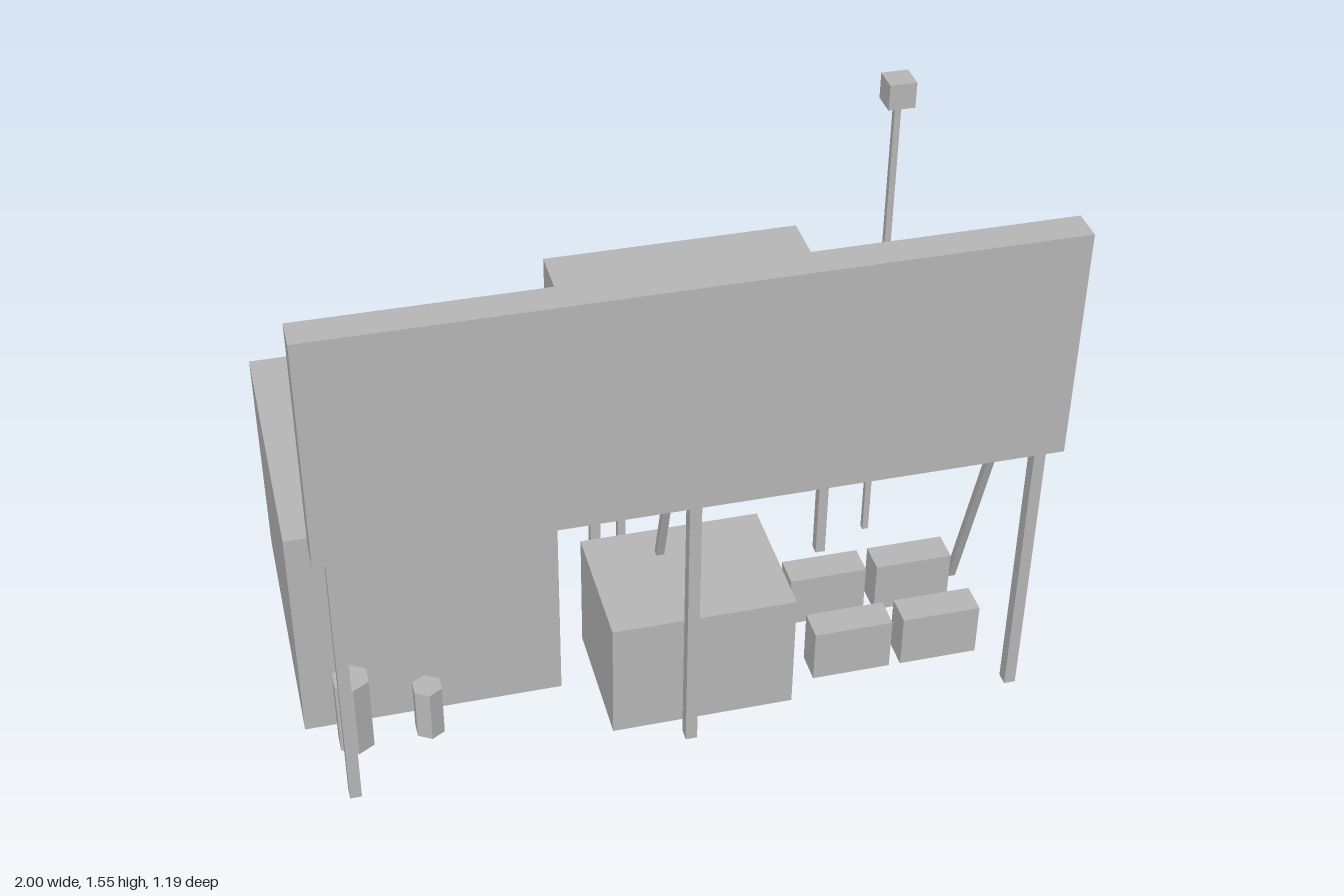
import * as THREE from 'three';

export function createModel() {
  const model = new THREE.Group();
  const grey = new THREE.MeshStandardMaterial({ color: 0xb8b8b8 });
  grey.name = 'plain grey';

  const add = (name, geometry, x, y, z) => {
    const mesh = new THREE.Mesh(geometry, grey);
    mesh.name = name;
    mesh.position.set(x, y, z);
    model.add(mesh);
    return mesh;
  };

  // Box given by its minimum and maximum on each axis
  const box = (name, x0, x1, y0, y1, z0, z1) =>
    add(name, new THREE.BoxGeometry(x1 - x0, y1 - y0, z1 - z0), (x0 + x1) / 2, (y0 + y1) / 2, (z0 + z1) / 2);

  // Square upright centred on x, z
  const post = (name, x, z, width, depth, y0, y1) =>
    box(name, x - width / 2, x + width / 2, y0, y1, z - depth / 2, z + depth / 2);

  // Six-sided drum with flat faces
  const drum = (name, x, z, radius, y0, y1) => {
    const geometry = new THREE.CylinderGeometry(radius, radius, y1 - y0, 6).toNonIndexed();
    geometry.computeVertexNormals();
    return add(name, geometry, x, (y0 + y1) / 2, z);
  };

  // Billboard with its posts and sloping braces
  box('billboard', -0.95, 1, 0.83, 1.493, 0.508, 0.597);
  const foot = new THREE.Vector2(0.095, 0.003); // z, y
  const head = new THREE.Vector2(0.502, 1.293);
  const run = head.clone().sub(foot);
  for (const x of [-0.9, 0.021, 0.946]) {
    post('billboardPost', x, 0.555, 0.032, 0.036, 0, 0.83);
    const brace = add('billboardBrace', new THREE.BoxGeometry(0.022, run.length(), 0.02),
      x, (foot.y + head.y) / 2, (foot.x + head.x) / 2);
    brace.rotation.x = Math.atan2(run.x, run.y);
  }

  // Large ground building with chimney
  box('largeBuilding', -1, -0.28, 0, 0.672, -0.532, 0.288);
  drum('chimney', -0.848, -0.328, 0.051, 0.672, 0.835);

  // Raised cabin on a platform with four legs
  box('cabin', -0.128, 0.636, 0.34, 0.854, -0.582, -0.071);
  box('platform', -0.144, 0.652, 0.31, 0.34, -0.597, -0.06);
  for (const x of [-0.092, 0.6])
    for (const z of [-0.108, -0.543]) post('platformLeg', x, z, 0.029, 0.031, 0, 0.31);
  post('frontPole', -0.028, -0.045, 0.023, 0.023, 0, 0.647);

  // Lamp
  post('lampPole', 0.766, -0.173, 0.018, 0.018, 0, 1.47);
  post('lampHead', 0.766, -0.173, 0.075, 0.075, 1.47, 1.545);

  // Ground clutter
  box('groundCrate', -0.18, 0.33, 0, 0.363, 0.109, 0.495);
  for (const x of [0.404, 0.66])
    for (const z of [0.136, 0.368]) box('smallCrate', x, x + 0.223, 0.03, 0.19, z, z + 0.088);
  drum('tallBarrel', -0.869, 0.364, 0.053, 0, 0.235);
  drum('shortBarrel', -0.666, 0.364, 0.043, 0, 0.16);

  return model;
}
